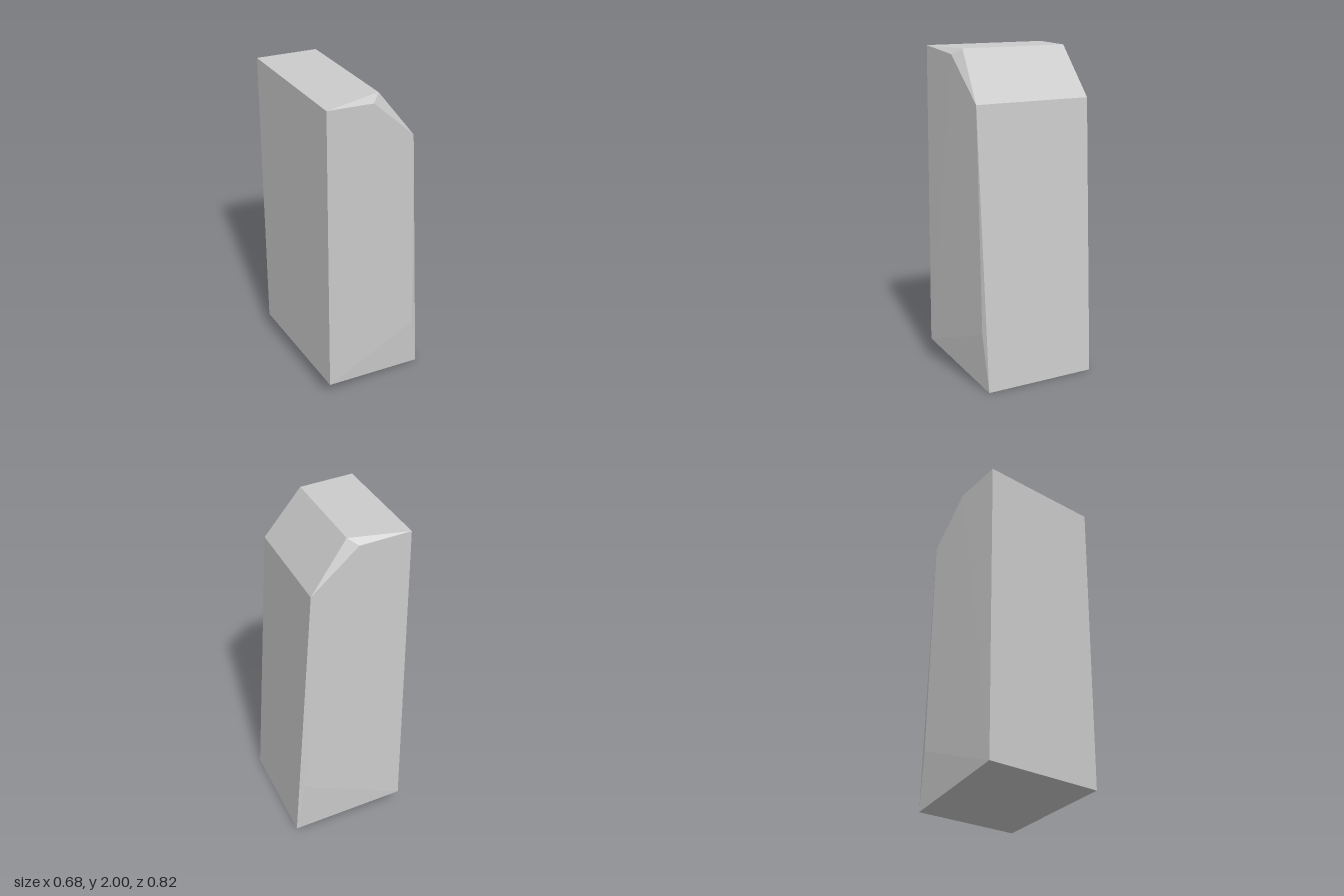
import * as THREE from 'three';
import { ConvexGeometry } from 'three/addons/geometries/ConvexGeometry.js';

export function createModel() {
  const group = new THREE.Group();
  group.name = 'stoneBlock';

  // Corners of one broad face; mirrored in z for the other
  const corners = [
    [-0.34, 0.13, 0.412], // raised bottom edge
    [-0.34, 2.0, 0.402], // tall straight side
    [0.015, 2.0, 0.344], // top of the slanted cut
    [-0.04, 1.965, 0.389], // chipped upper corner
    [0.235, 1.7, 0.375], // foot of the slanted cut
    [0.285, 0.35, 0.374], // bevel along the leaning side
    [0.338, 0.0, 0.358], // lowest edge
  ];
  const points = corners.flatMap(([x, y, z]) => [
    new THREE.Vector3(x, y, z),
    new THREE.Vector3(x, y, -z),
  ]);

  const stone = new THREE.Mesh(
    new ConvexGeometry(points),
    new THREE.MeshStandardMaterial({ color: 0xcccccc, flatShading: true })
  );
  stone.name = 'stone';
  group.add(stone);
  return group;
}
